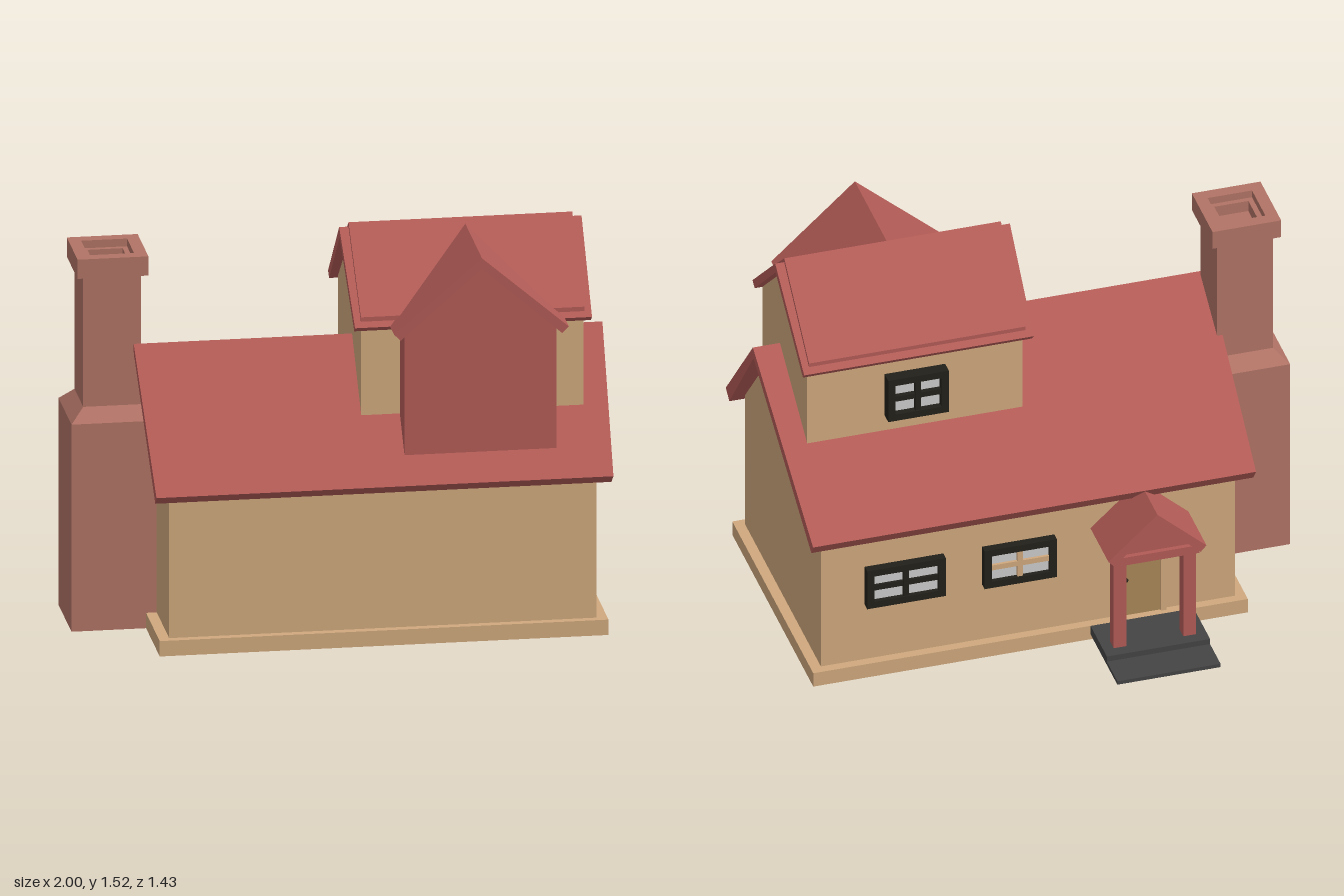
import * as THREE from 'three';

const TAN = 0xcfa87d, RED = 0xb25b56, BRICK = 0xb07365, BLACK = 0x222019, SLATE = 0x444444, WOOD = 0xa98758;

export function createModel() {
  const house = new THREE.Group();
  house.name = 'house';
  const mats = {};
  const mat = (c) => (mats[c] ??= new THREE.MeshStandardMaterial({ color: c, flatShading: true }));

  function add(name, geometry, color, parent = house) {
    const mesh = new THREE.Mesh(geometry, mat(color));
    mesh.name = name;
    parent.add(mesh);
    return mesh;
  }

  // Box given by its limits on each axis
  function box(name, [x0, x1], [y0, y1], [z0, z1], color, parent) {
    const g = new THREE.BoxGeometry(x1 - x0, y1 - y0, z1 - z0);
    g.translate((x0 + x1) / 2, (y0 + y1) / 2, (z0 + z1) / 2);
    return add(name, g, color, parent);
  }

  // Prism along z from an (x, y) outline; ends lean inward below topY by the taper
  function prismZ(name, outline, z0, z1, color, { topY = 0, t0 = 0, t1 = 0, parent } = {}) {
    const g = extrude(outline, z0, z1, topY, t0, t1);
    return add(name, g, color, parent);
  }

  // Prism along x from a (z, y) outline
  function prismX(name, outline, x0, x1, color, { topY = 0, t0 = 0, t1 = 0, parent } = {}) {
    const g = extrude(outline.map(([z, y]) => [-z, y]), x0, x1, topY, t0, t1);
    g.rotateY(Math.PI / 2);
    return add(name, g, color, parent);
  }

  function extrude(outline, a, b, topY, t0, t1) {
    const shape = new THREE.Shape(outline.map(([u, v]) => new THREE.Vector2(u, v)));
    const g = new THREE.ExtrudeGeometry(shape, { depth: b - a, bevelEnabled: false });
    g.translate(0, 0, a);
    const p = g.attributes.position;
    const mid = (a + b) / 2;
    for (let i = 0; i < p.count; i++) {
      const drop = topY - p.getY(i), z = p.getZ(i);
      p.setZ(i, z < mid ? z + t0 * drop : z - t1 * drop);
    }
    g.computeVertexNormals();
    return g;
  }

  // Symmetric chevron outline for a gable roof
  const chevron = (cx, ridge, under, halfOut, yOut, halfIn, yIn) => [
    [cx + halfOut, yOut], [cx, ridge], [cx - halfOut, yOut],
    [cx - halfIn, yIn], [cx, under], [cx + halfIn, yIn],
  ];

  // Main house
  box('foundation', [-0.72, 0.965], [0, 0.06], [-0.37, 0.67], TAN);
  prismX('mainWalls', [[0.64, 0.05], [0.64, 0.64], [0.29, 1.05], [-0.335, 0.64], [-0.335, 0.05]], -0.68, 0.925, TAN);
  prismX('mainRoof', [[0.715, 0.635], [0.29, 1.1], [-0.41, 0.655], [-0.38, 0.61], [0.29, 1.05], [0.675, 0.6]],
    -0.76, 1, RED, { topY: 1.1, t0: 0.045, t1: 0.05 });

  // Upper storey with its two-layer roof
  prismX('upperWalls', [[0.515, 0.8], [0.515, 1.205], [0.235, 1.46], [-0.06, 1.21], [-0.06, 0.8]], 0.06, 0.895, TAN);
  prismX('upperRoof', [[0.56, 1.21], [0.235, 1.5], [-0.105, 1.218], [-0.085, 1.195], [0.235, 1.46], [0.535, 1.19]],
    0.02, 0.93, RED, { topY: 1.5, t0: 0.035, t1: 0.035 });
  prismX('upperRoofCover', [[0.54, 1.245], [0.235, 1.517], [-0.083, 1.252], [-0.083, 1.225], [0.235, 1.48], [0.54, 1.22]],
    0.055, 0.895, RED);

  // Front dormer
  prismZ('dormerWalls', [[0.205, 0.7], [0.775, 0.7], [0.775, 1.2], [0.49, 1.455], [0.205, 1.2]], 0.26, 0.63, RED);
  prismZ('dormerRoof', chevron(0.49, 1.497, 1.455, 0.328, 1.21, 0.303, 1.185), 0.24, 0.67, RED, { topY: 1.497, t1: 0.045 });

  // Chimney: square lathe with shoulder, cap and stepped flue
  const flue = [[0, 0], [0.16, 0], [0.16, 0.81], [0.108, 0.86], [0.108, 1.37], [0.133, 1.37], [0.133, 1.445],
    [0.086, 1.445], [0.086, 1.415], [0.066, 1.415], [0.066, 1.37], [0, 1.37]];
  const chimney = new THREE.LatheGeometry(flue.map(([h, y]) => new THREE.Vector2(h * Math.SQRT2, y)), 4);
  chimney.rotateY(Math.PI / 4);
  chimney.translate(-0.84, 0, 0.173);
  add('chimney', chimney, BRICK);

  // Four-pane windows on the back walls
  function windowUnit(name, [x0, x1], [y0, y1], [zOut, zWall], barColor) {
    const g = new THREE.Group();
    g.name = name;
    house.add(g);
    const f = 0.028, b = 0.011, cx = (x0 + x1) / 2, cy = (y0 + y1) / 2, zMid = (zOut + zWall) / 2;
    const shape = new THREE.Shape([[x0, y0], [x1, y0], [x1, y1], [x0, y1]].map((p) => new THREE.Vector2(...p)));
    shape.holes.push(new THREE.Path([[x0 + f, y0 + f], [x0 + f, y1 - f], [x1 - f, y1 - f], [x1 - f, y0 + f]]
      .map((p) => new THREE.Vector2(...p))));
    const frame = new THREE.ExtrudeGeometry(shape, { depth: zWall - zOut, bevelEnabled: false });
    frame.translate(0, 0, zOut);
    add('windowFrame', frame, BLACK, g);
    box('verticalBar', [cx - b, cx + b], [y0 + f, y1 - f], [zOut + 0.006, zWall], barColor, g);
    box('crossBar', [x0 + f, x1 - f], [cy - b, cy + b], [zOut + 0.007, zWall], barColor, g);
    box('glass', [x0 + f, x1 - f], [y0 + f, y1 - f], [zMid, zWall], 0xcccccc, g);
  }
  windowUnit('windowOuter', [0.45, 0.755], [0.305, 0.475], [-0.368, -0.333], BLACK);
  windowUnit('windowInner', [0.02, 0.3], [0.305, 0.475], [-0.368, -0.333], TAN);
  windowUnit('windowUpper', [0.36, 0.595], [0.945, 1.13], [-0.108, -0.057], BLACK);

  // Door with surround and knob
  const px = -0.31;
  for (const s of [-1, 1]) {
    const e = [px + s * 0.08, px + s * 0.1].sort((a, b) => a - b);
    box('doorJamb', e, [0.06, 0.4], [-0.35, -0.33], TAN);
  }
  box('doorLintel', [px - 0.1, px + 0.1], [0.4, 0.42], [-0.35, -0.33], TAN);
  box('door', [px - 0.08, px + 0.08], [0.06, 0.4], [-0.341, -0.33], WOOD);
  const knob = new THREE.SphereGeometry(0.009, 8, 6);
  knob.translate(px + 0.055, 0.22, -0.346);
  add('doorKnob', knob, BLACK);

  // Porch: steps, posts, beam, pediment and gable roof
  const porch = new THREE.Group();
  porch.name = 'porch';
  house.add(porch);
  box('porchFloor', [px - 0.2, px + 0.2], [0.022, 0.06], [-0.58, -0.36], SLATE, porch);
  box('porchStep', [px - 0.2, px + 0.2], [0.022, 0.037], [-0.715, -0.57], SLATE, porch);
  for (const s of [-1, 1]) {
    const x = px + s * 0.135;
    box('porchPost', [x - 0.025, x + 0.025], [0.06, 0.445], [-0.535, -0.485], RED, porch);
  }
  box('porchBeam', [px - 0.165, px + 0.165], [0.44, 0.475], [-0.558, -0.33], RED, porch);
  prismZ('porchPediment', [[px - 0.15, 0.46], [px + 0.15, 0.46], [px, 0.615]], -0.54, -0.33, RED, { parent: porch });
  prismZ('porchRoof', chevron(px, 0.65, 0.605, 0.19, 0.475, 0.168, 0.45), -0.567, -0.33, RED, { parent: porch });

  return house;
}
